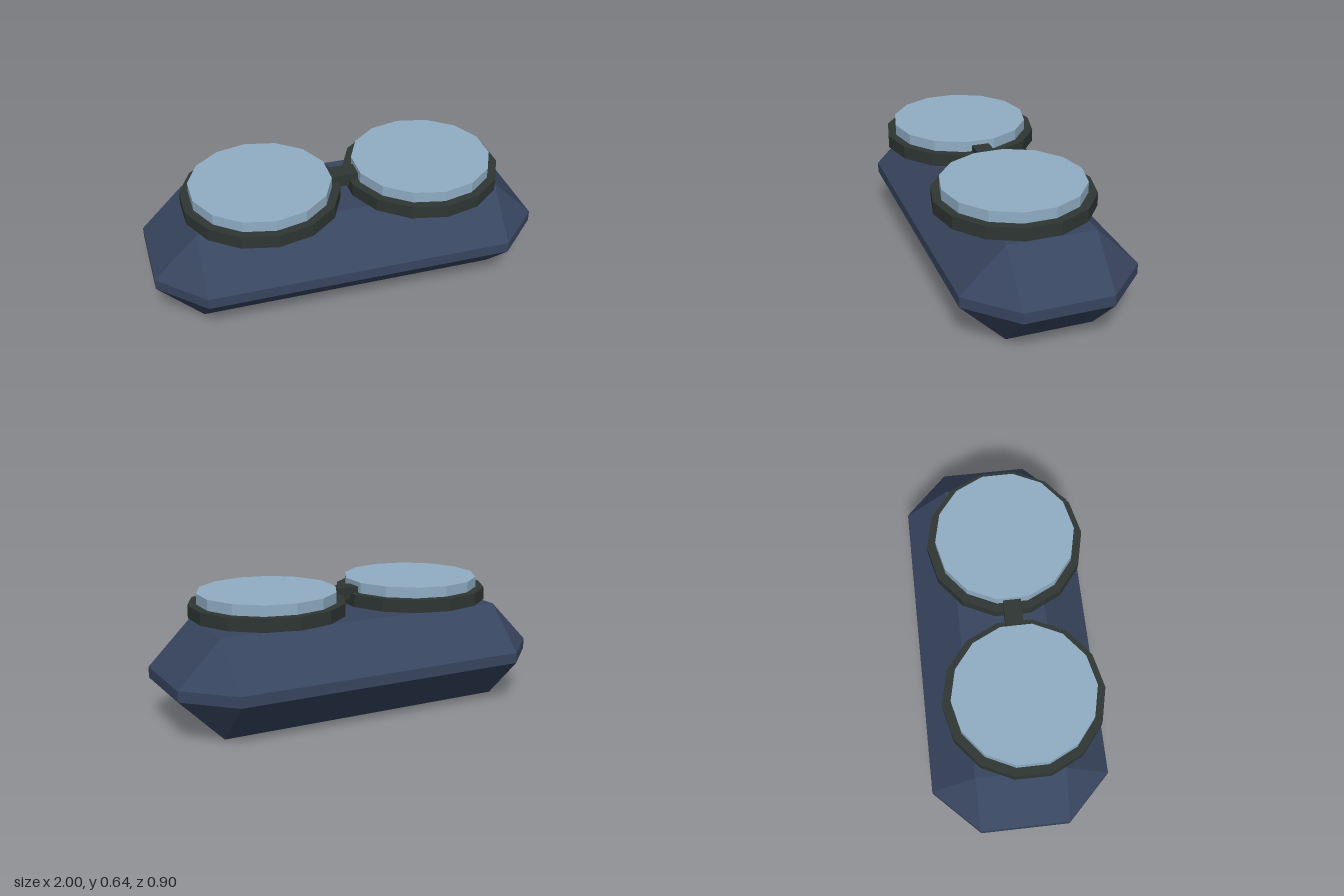
import * as THREE from 'three';
import { ConvexGeometry } from 'three/addons/geometries/ConvexGeometry.js';

const material = (name, color) => {
  const m = new THREE.MeshStandardMaterial({ color, flatShading: true });
  m.name = name;
  return m;
};

// Box with broad bevels on every edge and triangular corners
function beveledBox(outer, inner) {
  const points = [];
  for (const sx of [-1, 1]) for (const sy of [-1, 1]) for (const sz of [-1, 1]) {
    const sign = new THREE.Vector3(sx, sy, sz);
    for (const axis of ['x', 'y', 'z']) {
      const p = inner.clone();
      p[axis] = outer[axis];
      points.push(p.multiply(sign));
    }
  }
  return new ConvexGeometry(points);
}

export function createModel() {
  const group = new THREE.Group();
  const navy = material('navy body', 0x38455f);
  const charcoal = material('charcoal rim', 0x2e3633);
  const glass = material('pale blue lens', 0x90adc4);

  const add = (name, geometry, mat, x, y, z) => {
    const mesh = new THREE.Mesh(geometry, mat);
    mesh.name = name;
    mesh.position.set(x, y, z);
    group.add(mesh);
  };

  // Faceted body
  add('body', beveledBox(new THREE.Vector3(1, 0.25, 0.445), new THREE.Vector3(0.777, 0.0275, 0.222)),
    navy, 0, 0.2515, -0.005);

  // Pair of rims, each with a raised lens, floating just above the body
  const rim = new THREE.CylinderGeometry(0.4, 0.4, 0.066, 14);
  const lens = new THREE.CylinderGeometry(0.356, 0.356, 0.075, 14);
  for (const [side, sx] of [['left', 1], ['right', -1]]) {
    add(side + 'Rim', rim, charcoal, sx * 0.421, 0.557, 0.049);
    add(side + 'Lens', lens, glass, sx * 0.421, 0.6075, 0.051);
  }

  // Bridge joining the rims
  add('bridge', new THREE.BoxGeometry(0.16, 0.065, 0.09), charcoal, 0, 0.589, 0.047);

  return group;
}
